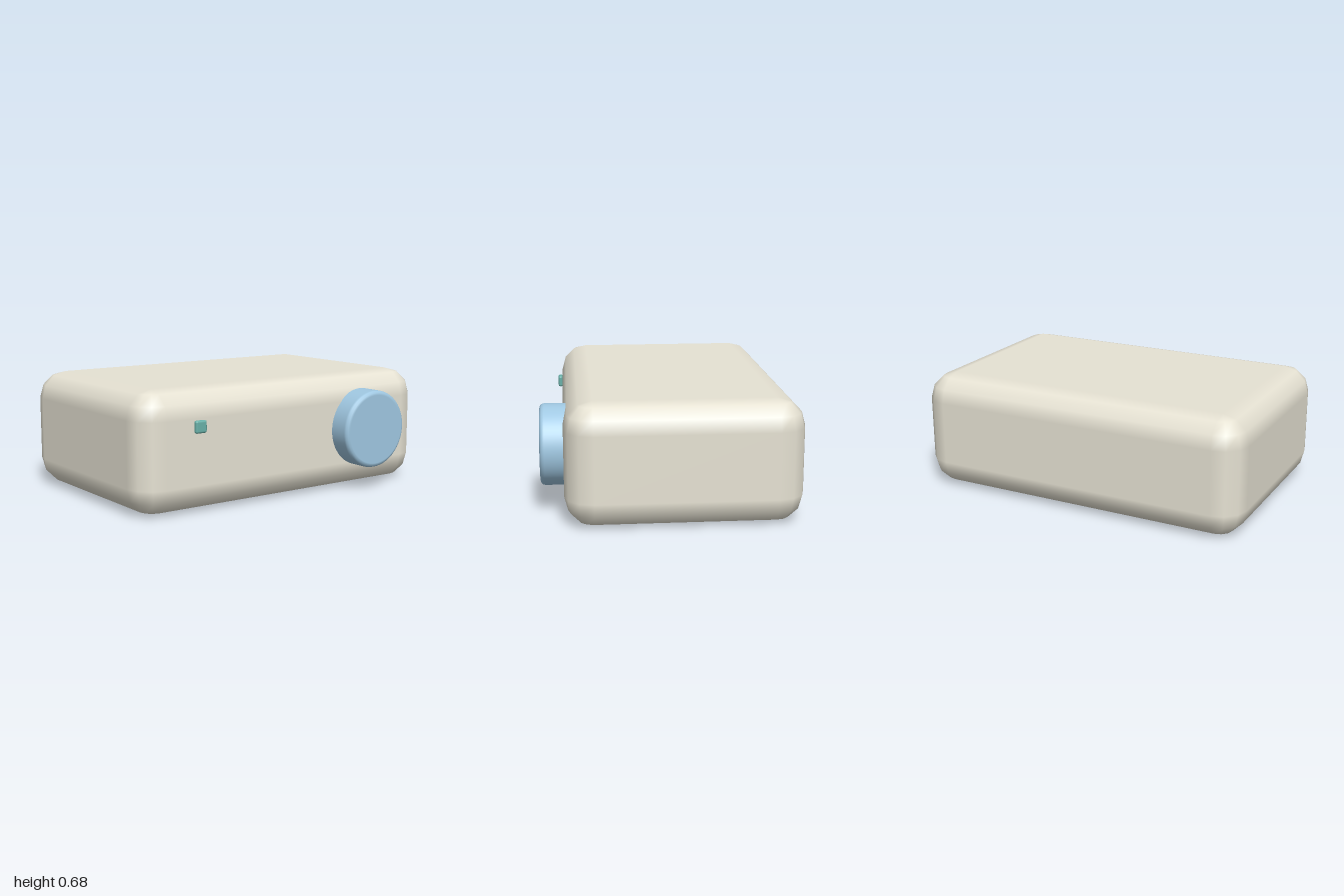
import * as THREE from 'three';
import { RoundedBoxGeometry } from 'three/addons/geometries/RoundedBoxGeometry.js';

// Box with rounded edges of `steps` facets per quarter turn
function bevelledBox(w, h, d, r, steps) {
  const n = steps + 1;
  const geo = new THREE.PlaneGeometry(1, 1, 4 * n, 2 * n + 1);
  const pos = geo.attributes.position;
  const nor = geo.attributes.normal;
  const cols = 4 * n + 1;
  for (let i = 0; i < pos.count; i++) {
    const col = (i % cols) % (4 * n);
    const row = Math.floor(i / cols);
    const quarter = Math.floor(col / n);
    const a = (quarter + (col % n) / steps) * Math.PI / 2;
    const mid = (quarter + 0.5) * Math.PI / 2;
    const top = row <= n;
    // first and last rows collapse to the centre of the flat top and bottom
    const cap = row === 0 || row === 2 * n + 1;
    const k = top ? Math.max(row - 1, 0) : Math.min(row - 2, 2 * steps);
    const t = k / steps * Math.PI / 2;
    const dir = new THREE.Vector3(Math.sin(t) * Math.sin(a), Math.cos(t), Math.sin(t) * Math.cos(a));
    const sx = cap ? 0 : Math.sign(Math.sin(mid));
    const sz = cap ? 0 : Math.sign(Math.cos(mid));
    pos.setXYZ(i,
      dir.x * r + sx * (w / 2 - r),
      dir.y * r + (top ? 1 : -1) * (h / 2 - r),
      dir.z * r + sz * (d / 2 - r));
    nor.setXYZ(i, dir.x, dir.y, dir.z);
  }
  return geo;
}

export function createModel() {
  const model = new THREE.Group();
  const add = (name, geo, color, x, y, z) => {
    const mesh = new THREE.Mesh(geo, new THREE.MeshStandardMaterial({ color }));
    mesh.name = name;
    mesh.position.set(x, y, z);
    model.add(mesh);
    return mesh;
  };

  // Housing
  add('body', bevelledBox(2, 0.68, 1.295, 0.157, 3), 0xe6e2d3, 0, 0.34, -0.0645);

  // Lens barrel: disc with a rounded front rim
  const shape = new THREE.Shape().absarc(0, 0, 0.228, 0, Math.PI * 2);
  const bevel = 0.026;
  const barrel = new THREE.ExtrudeGeometry(shape, {
    depth: 0.21 - 2 * bevel, curveSegments: 32,
    bevelSize: bevel, bevelThickness: bevel, bevelOffset: -bevel, bevelSegments: 3,
  });
  // smooth the round side and rim, keep the end faces flat
  const p = barrel.attributes.position, nm = barrel.attributes.normal;
  const v = new THREE.Vector3();
  for (let i = 0; i < p.count; i++) {
    if (Math.abs(nm.getZ(i)) > 0.999) continue;
    v.fromBufferAttribute(p, i);
    const len = Math.hypot(v.x, v.y);
    const out = Math.max(len - (0.228 - bevel), 0);
    const along = v.z < 0 ? v.z : Math.max(v.z - (0.21 - 2 * bevel), 0);
    const q = new THREE.Vector3(v.x / len * out, v.y / len * out, along).normalize();
    nm.setXYZ(i, q.x, q.y, q.z);
  }
  add('lens', barrel, 0xa0c8e2, 0.518, 0.363, 0.502 + bevel);

  // Small indicator button
  add('button', new RoundedBoxGeometry(0.072, 0.07, 0.028, 2, 0.012), 0x68b0a8, -0.644, 0.481, 0.597);

  return model;
}
